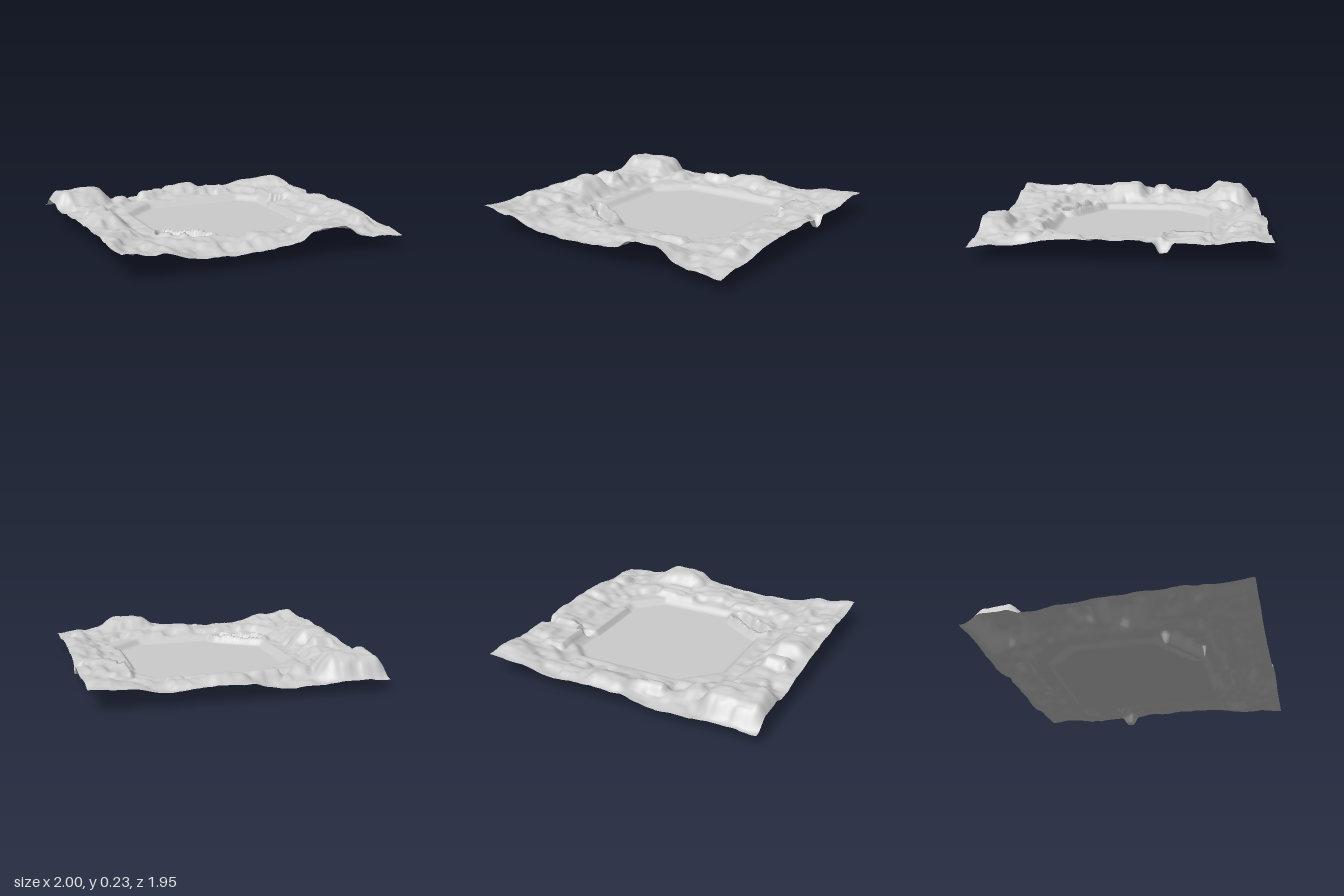
import * as THREE from 'three';

const FLOOR = 0.059, FRONT = 0.975, BACK = -0.965;
const { lerp, smoothstep, clamp } = THREE.MathUtils;

// edge heights, evenly spaced from -x to +x or from back to front
const EDGE = {
  back: [0.08, 0.08, 0.07, 0.07, 0.12, 0.12, 0.1, 0.14, 0.15],
  front: [0.18, 0.16, 0.1, 0.09, 0.1, 0.12, 0.19, 0.11, 0.09],
  left: [0.08, 0.09, 0.12, 0.14, 0.16, 0.17, 0.18, 0.16, 0.18],
  right: [0.15, 0.15, 0.13, 0.14, 0.15, 0.15, 0.14, 0.11, 0.09],
};

// flat-topped hills and hollows: x, z, half width, half depth, top, softness
const PLATEAUS = [
  [-0.80, -0.56, 0.06, 0.05, 0.165, 0.08],
  [-0.78, -0.38, 0.05, 0.10, 0.15, 0.06],
  [-0.79, -0.74, 0.14, 0.08, 0.222, 0.13],
  [-0.83, 0.10, 0.05, 0.08, 0.205, 0.12],
  [-0.82, -0.18, 0.05, 0.03, 0.205, 0.07],
  [-0.85, 0.38, 0.08, 0.06, 0.17, 0.06],
  [-0.80, 0.75, 0.06, 0.08, 0.14, 0.1],
  [0.10, -0.86, 0.10, 0.03, 0.165, 0.07],
  [-0.18, -0.79, 0.09, 0.02, 0.14, 0.03],
  [0.40, -0.80, 0.04, 0.08, 0.14, 0.05],
  [0.36, 0.61, 0.15, 0.03, 0.125, 0.03],
  [0.42, 0.93, 0.10, 0.05, 0.19, 0.12],
  [-0.30, 0.69, 0.15, 0.06, 0.135, 0.05],
  [0.05, 0.74, 0.17, 0.07, 0.135, 0.05],
  [0.80, -0.42, 0.14, 0.16, 0.145, 0.02],
  [0.90, 0.38, 0.04, 0.10, 0.165, 0.08],
  [0.88, 0.62, 0.03, 0.04, 0.16, 0.06],
  [0.90, -0.80, 0.05, 0.06, 0.17, 0.08],
  [0.66, -0.28, 0.02, 0.01, 0.047, 0.03],
  [0.99, -0.28, 0.02, 0.02, 0.07, 0.05],
];

function hash(i, j) {
  const s = Math.sin(i * 127.1 + j * 311.7) * 43758.5453;
  return s - Math.floor(s);
}

// blocky value noise: broad flat cells joined by short slopes, in -1..1
function blocks(x, z, cell) {
  const u = x / cell + 50, v = z / cell + 50;
  const i = Math.floor(u), j = Math.floor(v);
  const a = smoothstep(u - i, 0.4, 0.9), b = smoothstep(v - j, 0.4, 0.9);
  const row = (k) => lerp(hash(i, k), hash(i + 1, k), a);
  return lerp(row(j), row(j + 1), b) * 2 - 1;
}

function sample(list, t) {
  const p = clamp(t, 0, 1) * (list.length - 1);
  const i = Math.min(Math.floor(p), list.length - 2);
  return lerp(list[i], list[i + 1], smoothstep(p - i, 0, 1));
}

// height at the border, blended from whichever edges are nearest
function borderHeight(x, z) {
  const u = (x + 1) / 2, v = (z - BACK) / (FRONT - BACK);
  const parts = [
    [sample(EDGE.left, v), u], [sample(EDGE.right, v), 1 - u],
    [sample(EDGE.back, u), v], [sample(EDGE.front, u), 1 - v],
  ];
  let sum = 0, total = 0;
  for (const [h, d] of parts) {
    const w = 1 / (d * d + 0.0005);
    sum += h * w;
    total += w;
  }
  return sum / total;
}

// distance outside the flat floor, whose four corners are cut by different amounts
function floorDistance(x, z) {
  const cut = Math.max(-x - z - 0.8, x - z - 1.02, x + z - 0.9, z - x - 0.82) * 0.7;
  return Math.max(-0.47 - x, x - 0.585, -0.55 - z, z - 0.5, cut);
}

// trench with a raised lip across the front corner of the floor
function rockyBank(x, z, h) {
  const along = clamp(((x + 0.5) * 0.26 + (z - 0.33) * 0.17) / (0.26 ** 2 + 0.17 ** 2), 0, 1);
  const away = Math.hypot(x + 0.5 - 0.26 * along, z - 0.33 - 0.17 * along);
  const lip = 0.115 + 0.02 * blocks(x, z, 0.05);
  const rock = lerp(0.034, lip, smoothstep(away, 0.02, 0.055));
  return lerp(rock, h, smoothstep(away, 0.065, 0.1));
}

function groundHeight(x, z) {
  const d = floorDistance(x, z);
  const edge = Math.min(x + 1, 1 - x, z - BACK, FRONT - z);
  let h = FLOOR;
  if (d > 0) {
    // low step, shelf, second step, then blend out to the border
    const eastWall = x > 0.57 && Math.abs(z) < 0.24;
    const step = smoothstep(d, 0, eastWall ? 0.02 : 0.06);
    const shelf = FLOOR + 0.04 * step + 0.03 * smoothstep(d, 0.16, 0.23);
    h = lerp(borderHeight(x, z), shelf, smoothstep(edge, 0.02, 0.28));
    for (const [px, pz, w, l, top, soft] of PLATEAUS) {
      const out = Math.hypot(Math.max(0, Math.abs(x - px) - w), Math.max(0, Math.abs(z - pz) - l));
      h = lerp(h, top, 1 - smoothstep(out, 0, soft));
    }
    const rough = smoothstep(d, 0.03, 0.14) * (0.5 + 0.5 * smoothstep(edge, 0, 0.12));
    h += rough * (0.015 * blocks(x, z, 0.12) + 0.012 * blocks(x + 3, z + 5, 0.065));
  }
  return rockyBank(x, z, h);
}

function buildGround(material) {
  const nx = 130, nz = 126;
  const geometry = new THREE.PlaneGeometry(2, FRONT - BACK, nx, nz);
  geometry.rotateX(-Math.PI / 2);
  geometry.translate(0, 0, (FRONT + BACK) / 2);
  const p = geometry.attributes.position;
  for (let i = 0; i < p.count; i++) {
    const x = p.getX(i), z = p.getZ(i);
    p.setY(i, groundHeight(x, z));
    // slight bulge in the back edge
    const bulge = smoothstep(x, -0.04, 0.04) * (1 - smoothstep(x, 0.24, 0.33));
    p.setZ(i, z - 0.012 * bulge * (1 - smoothstep(z, BACK, BACK + 0.1)));
  }
  geometry.computeVertexNormals();
  const mesh = new THREE.Mesh(geometry, material);
  mesh.name = 'ground';
  return mesh;
}

export function createModel() {
  const group = new THREE.Group();
  group.name = 'terrain';
  const material = new THREE.MeshStandardMaterial({ color: 0xcccccc, side: THREE.DoubleSide });
  group.add(buildGround(material));

  // thin rock spike hanging under the front bank
  const spike = new THREE.Mesh(new THREE.ConeGeometry(0.016, 0.085, 5, 1, true), material);
  spike.name = 'hangingSpike';
  spike.rotation.x = Math.PI;
  spike.position.set(-0.31, 0.0425, 0.55);
  group.add(spike);
  return group;
}
